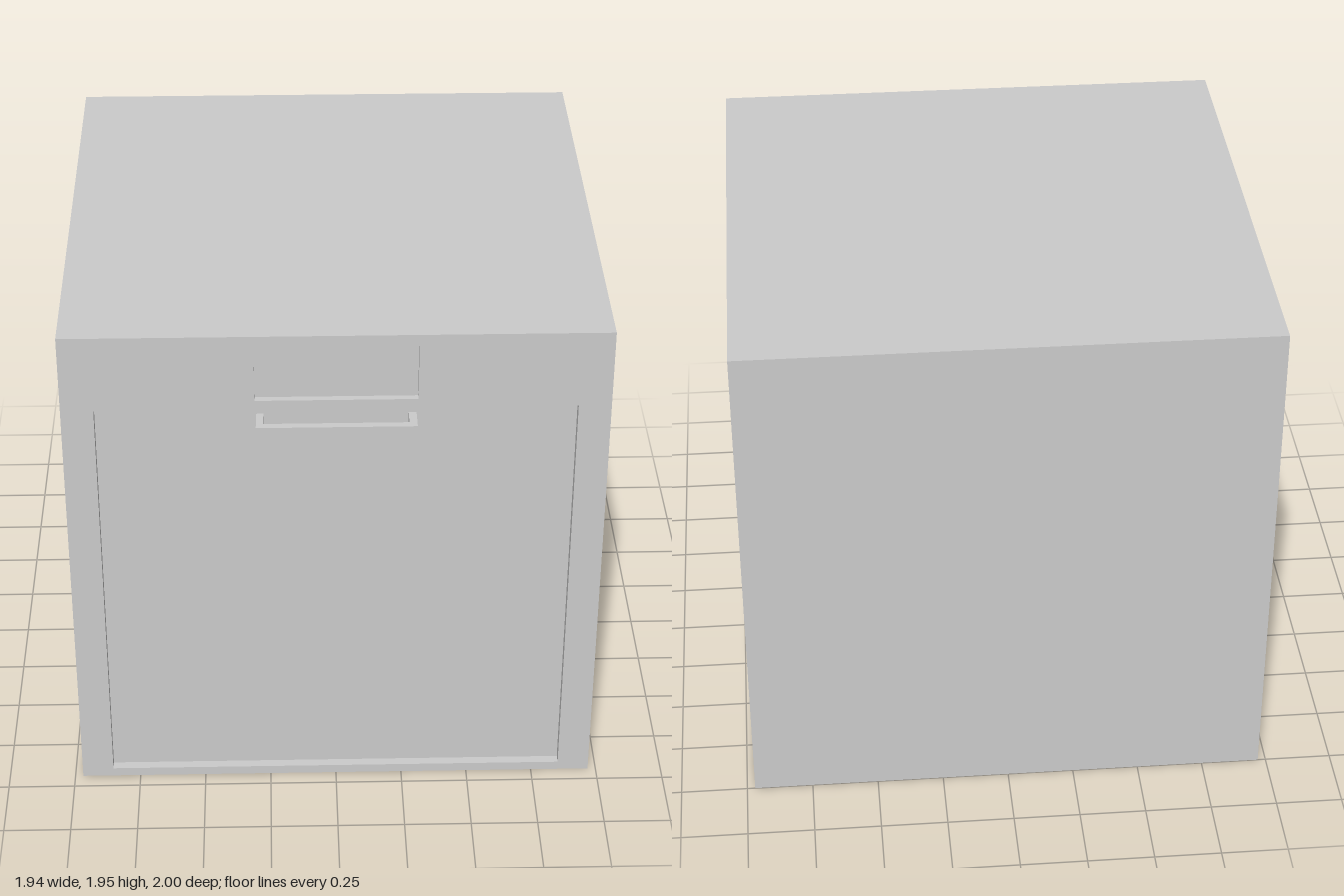
import * as THREE from 'three';

const FLOOR = 0.905; // depth of the recessed door face
const FACE = 0.94;   // front face of the cabinet

export function createModel() {
  const model = new THREE.Group();
  const material = new THREE.MeshStandardMaterial({ color: 0xcccccc, flatShading: true });

  const add = (name, geometry, parent = model) => {
    const mesh = new THREE.Mesh(geometry, material);
    mesh.name = name;
    parent.add(mesh);
    return mesh;
  };

  // Box given by its lower and upper corners
  const box = (name, [x0, y0, z0], [x1, y1, z1], parent) =>
    add(name, new THREE.BoxGeometry(x1 - x0, y1 - y0, z1 - z0), parent)
      .position.set((x0 + x1) / 2, (y0 + y1) / 2, (z0 + z1) / 2);

  // Rectangle outline, reused for the frame and its openings
  const rect = (Type, x0, y0, x1, y1) => new Type([
    new THREE.Vector2(x0, y0), new THREE.Vector2(x1, y0),
    new THREE.Vector2(x1, y1), new THREE.Vector2(x0, y1),
  ]);

  // Cabinet body; its front forms the recessed door
  box('cabinetBody', [-0.97, 0, -1], [0.97, 1.945, FLOOR]);

  // Front frame with openings for the door and the control panel
  const frame = rect(THREE.Shape, -0.97, 0, 0.97, 1.945);
  frame.holes.push(
    rect(THREE.Path, -0.853, 0.035, 0.853, 1.65),
    rect(THREE.Path, -0.288, 1.685, 0.288, 1.905),
  );
  add('frontFrame', new THREE.ExtrudeGeometry(frame, { depth: FACE - FLOOR, bevelEnabled: false }))
    .position.z = FLOOR;

  // Control panel, slightly shallower than the door
  box('controlPanel', [-0.288, 1.685, FLOOR], [0.288, 1.905, 0.915]);

  // Door handle: a bar on two posts
  const handle = new THREE.Group();
  handle.name = 'doorHandle';
  model.add(handle);
  box('handleBar', [-0.284, 1.547, 0.973], [0.284, 1.61, 1], handle);
  for (const [name, x] of [['leftPost', 0.27], ['rightPost', -0.27]]) {
    box(name, [x - 0.014, 1.547, FLOOR], [x + 0.014, 1.61, 0.973], handle);
  }

  return model;
}
